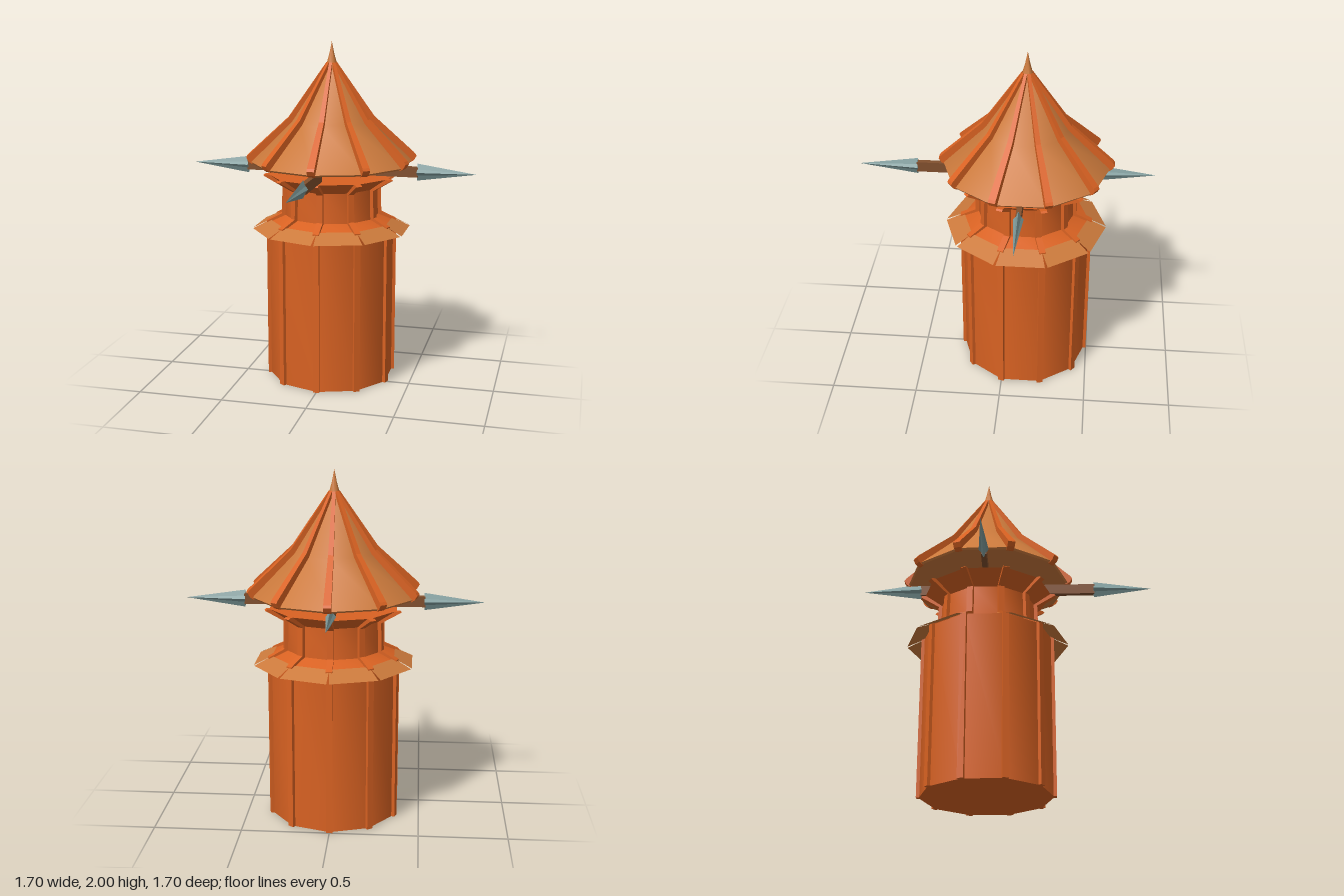
import * as THREE from 'three';
import { toCreasedNormals } from 'three/addons/utils/BufferGeometryUtils.js';

const SIDES = 10;
const STEP = (Math.PI * 2) / SIDES;
const paint = (color, extra = {}) => new THREE.MeshStandardMaterial({ color, ...extra });
const wall = paint(0xd96222);
const tile = paint(0xcc7a3c);
const eaveTile = paint(0xcc7a3c, { side: THREE.DoubleSide });
const wood = paint(0x82502e);
const steel = paint(0x7f9c9c, { flatShading: true });

function add(parent, name, geometry, material) {
  const mesh = new THREE.Mesh(geometry, material);
  mesh.name = name;
  parent.add(mesh);
  return mesh;
}

// Ten-sided solid from [radius, height] points, bottom to top
function decagon(profile) {
  const points = profile.map(([r, y]) => new THREE.Vector2(r, y));
  return toCreasedNormals(new THREE.LatheGeometry(points, SIDES), 0.7);
}

// Rib outline in the radius/height plane, given a thickness and a width by radius
function ribGeometry(outline, widthAt) {
  const shape = new THREE.Shape(outline.map(([r, y]) => new THREE.Vector2(r, y)));
  const geometry = new THREE.ExtrudeGeometry(shape, { depth: 1, bevelEnabled: false });
  geometry.translate(0, 0, -0.5);
  const p = geometry.attributes.position;
  for (let i = 0; i < p.count; i++) p.setZ(i, p.getZ(i) * widthAt(p.getX(i)));
  geometry.rotateY(-Math.PI / 2);
  geometry.computeVertexNormals();
  return geometry;
}

// Repeat a geometry around the tower
function ring(parent, name, geometry, material, offset) {
  const group = new THREE.Group();
  group.name = name + 's';
  for (let i = 0; i < SIDES; i++) {
    add(group, name, geometry, material).rotation.y = (i + offset) * STEP;
  }
  parent.add(group);
}

// Flat sloping tile that flares out from the wall
function eaveGeometry() {
  const geometry = new THREE.BufferGeometry();
  const corners = [
    -0.137, 0.905, 0.447, 0.137, 0.905, 0.447,
    0.112, 0.955, 0.345, -0.112, 0.955, 0.345,
  ];
  geometry.setAttribute('position', new THREE.Float32BufferAttribute(corners, 3));
  geometry.setIndex([0, 1, 2, 0, 2, 3]);
  geometry.computeVertexNormals();
  return geometry;
}

// Wooden shaft with a star-section steel point, aimed along +z
function spike(name, x, z, turn) {
  const group = new THREE.Group();
  group.name = name;
  const shaft = new THREE.BoxGeometry(0.03, 0.06, 0.36).translate(0, 0, 0.335);
  add(group, 'spikeShaft', shaft, wood);

  const head = new THREE.CylinderGeometry(0, 1, 0.34, 8);
  const p = head.attributes.position;
  for (let i = 0; i < p.count; i++) {
    const diagonal = Math.abs(p.getX(i) * p.getZ(i)) > 0.1;
    p.setX(i, p.getX(i) * (diagonal ? 0.02 : 0.028));
    p.setZ(i, p.getZ(i) * (diagonal ? 0.026 : 0.05));
  }
  head.rotateX(Math.PI / 2).translate(0, 0, 0.68);
  head.computeVertexNormals();
  add(group, 'spikeHead', head, steel);

  group.position.set(x, 1.26, z);
  group.rotation.y = turn;
  return group;
}

export function createModel() {
  const model = new THREE.Group();
  model.name = 'watchtower';
  const tower = new THREE.Group();
  tower.name = 'tower';
  tower.position.z = -0.115;
  model.add(tower);

  // Body, narrowed neck and flared crown
  add(tower, 'towerWall', decagon([
    [0, 0], [0.372, 0], [0.372, 0.945], [0.28, 0.985],
    [0.275, 1.16], [0.375, 1.23], [0, 1.23],
  ]), wall);
  const wallRib = ribGeometry([
    [0.385, 0], [0.385, 0.95], [0.295, 0.995], [0.29, 1.155], [0.4, 1.222],
    [0.39, 1.23], [0.34, 1.23], [0.25, 1.17], [0.25, 0.97], [0.33, 0.94], [0.33, 0],
  ], () => 0.036);
  ring(tower, 'wallRib', wallRib, wall, 0);
  ring(tower, 'eaveTile', eaveGeometry(), eaveTile, 0.5);

  // Two-pitch roof with ribs on every corner
  add(tower, 'roof', decagon([
    [0, 1.295], [0.47, 1.295], [0.478, 1.305], [0.235, 1.54], [0.025, 1.86],
  ]), tile);
  const roofRib = ribGeometry([
    [0.465, 1.292], [0.485, 1.305], [0.5, 1.33], [0.49, 1.345],
    [0.25, 1.565], [0.03, 1.88], [0.01, 1.84], [0.22, 1.5], [0.43, 1.3],
  ], (r) => 0.016 + r * 0.054);
  ring(tower, 'roofRib', roofRib, wall, 0);
  add(tower, 'finial', decagon([[0.04, 1.84], [0.028, 1.88], [0.014, 1.93], [0, 2]]), tile);

  // Spikes under the roof on four sides
  model.add(
    spike('frontSpike', -0.006, 0, 0),
    spike('backSpike', -0.012, 0, Math.PI),
    spike('leftSpike', 0, -0.108, Math.PI / 2),
    spike('rightSpike', 0, -0.115, -Math.PI / 2),
  );
  return model;
}
